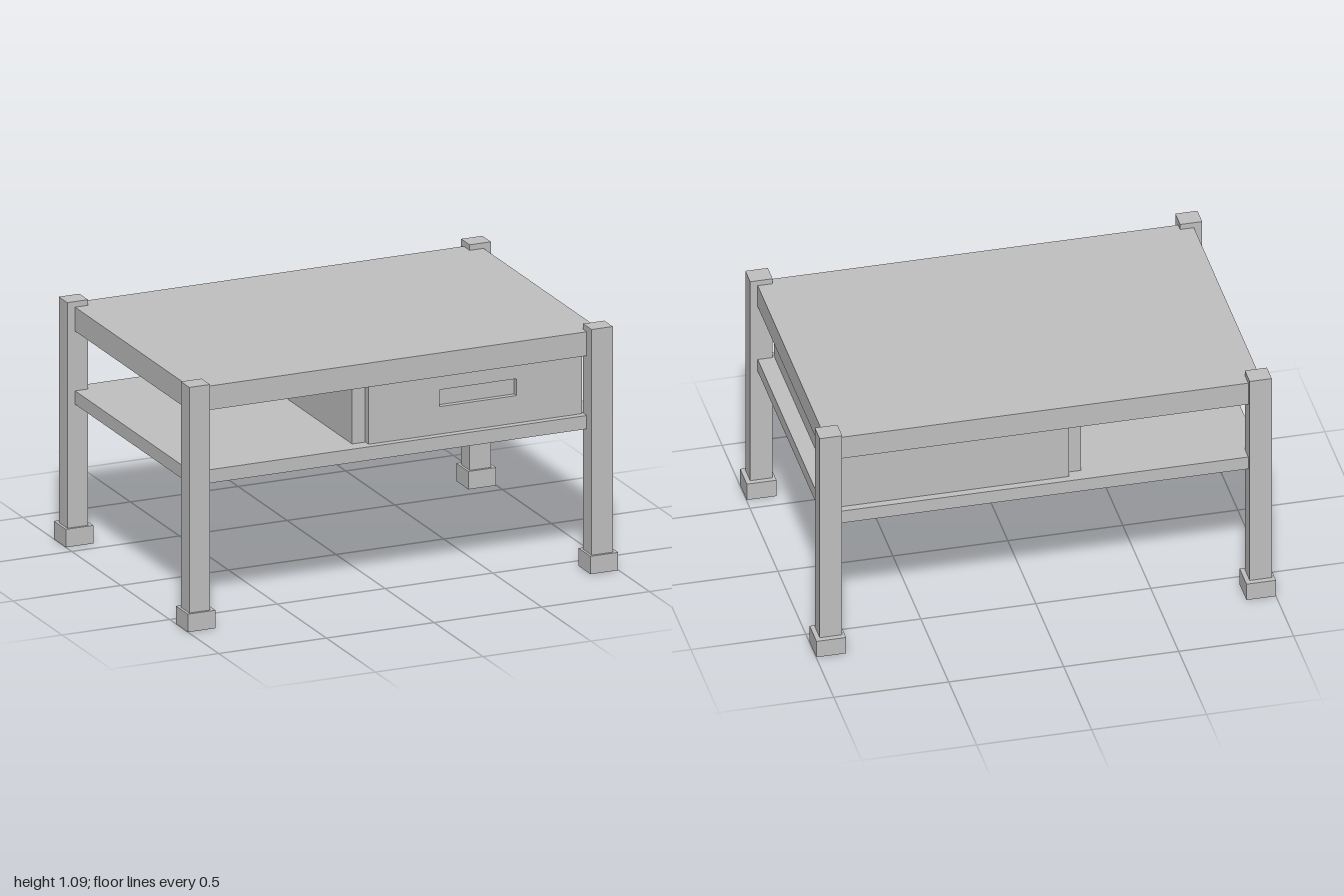
import * as THREE from 'three';

const grey = new THREE.MeshStandardMaterial({ color: 0xc0c0c0, side: THREE.DoubleSide });
grey.name = 'plain grey';

// Box given by its extents; openBottom leaves out the underside
function block(name, [x0, x1], [y0, y1], [z0, z1], openBottom = false) {
  const geometry = new THREE.BoxGeometry(x1 - x0, y1 - y0, z1 - z0);
  if (openBottom) {
    const index = Array.from(geometry.index.array);
    index.splice(18, 6); // the fourth side of a box is its bottom
    geometry.setIndex(index);
    geometry.clearGroups();
  }
  const mesh = new THREE.Mesh(geometry, grey);
  mesh.name = name;
  mesh.position.set((x0 + x1) / 2, (y0 + y1) / 2, (z0 + z1) / 2);
  return mesh;
}

function rectangle(path, x0, x1, y0, y1) {
  path.moveTo(x0, y0);
  path.lineTo(x1, y0);
  path.lineTo(x1, y1);
  path.lineTo(x0, y1);
  path.closePath();
  return path;
}

export function createModel() {
  const table = new THREE.Group();
  table.name = 'coffeeTable';

  // Hollow top and shelf, each a slab with a rim and no underside
  const width = [-0.952, 0.945], depth = [-0.632, 0.624];
  table.add(block('tableTop', width, [0.953, 1.06], depth, true));
  table.add(block('shelf', width, [0.627, 0.687], depth, true));

  // Four legs with wider feet
  const xs = [
    { side: 'Right', leg: [-0.988, -0.892], foot: [-1, -0.872] },
    { side: 'Left', leg: [0.88, 0.978], foot: [0.869, 0.998] },
  ];
  const zs = [
    { end: 'front', leg: [0.588, 0.674], foot: [0.565, 0.686] },
    { end: 'back', leg: [-0.658, -0.571], foot: [-0.683, -0.56] },
  ];
  for (const x of xs) {
    for (const z of zs) {
      table.add(block(`${z.end}${x.side}Leg`, x.leg, [0.08, 1.085], z.leg));
      table.add(block(`${z.end}${x.side}Foot`, x.foot, [0, 0.08], z.foot));
    }
  }

  // Divider, hollow and reaching down through the shelf
  table.add(block('divider', [-0.18, -0.12], [0.628, 0.99], [-0.565, 0.56], true));

  // Drawer case, reaching a little way into the hollow top
  table.add(block('drawerCase', [-0.12, 0.872], [0.688, 0.985], [-0.6, 0.57]));

  // Drawer front with a sunken grip
  const face = rectangle(new THREE.Shape(), -0.12, 0.872, 0.688, 0.985);
  face.holes.push(rectangle(new THREE.Path(), 0.21, 0.567, 0.81, 0.885));
  const front = new THREE.Mesh(
    new THREE.ExtrudeGeometry(face, { depth: 0.025, bevelEnabled: false }), grey);
  front.name = 'drawerFront';
  front.position.z = 0.57;
  table.add(front);

  return table;
}
